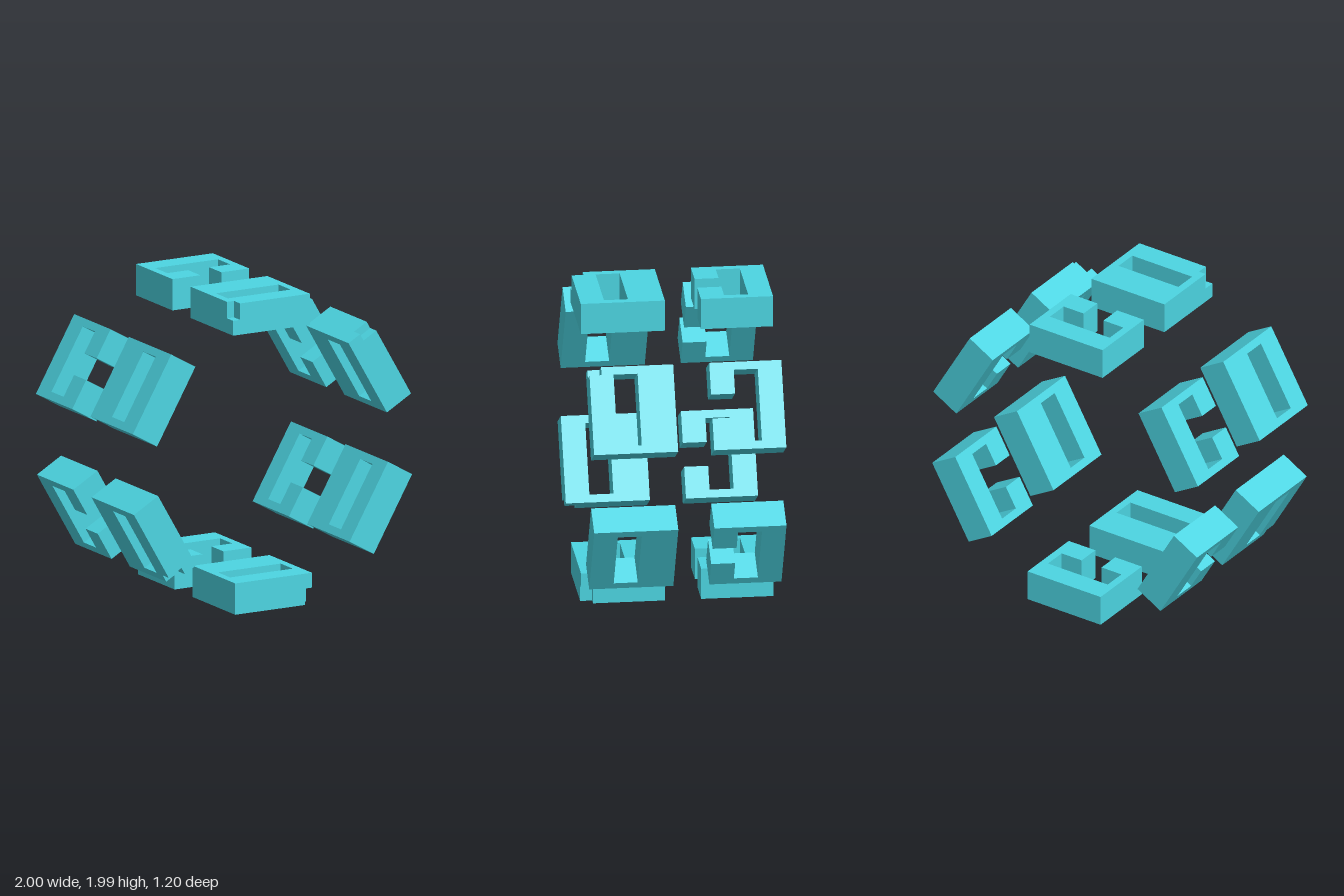
import * as THREE from 'three';

const THICK = 0.2, OUTER = 0.9925, HALF = 0.275, HOLE = 0.225, SLOT = 0.075, SHIFT = -0.0075;
const NOTCH = { length: 0.05, width: 0.075, depth: 0.105 };

export function createModel() {
  const teal = new THREE.MeshStandardMaterial({ color: 0x4cd5e2 });
  teal.name = 'teal';

  // outlines are given as [x, z] and become slabs of full thickness; holes run the opposite way
  const path = (Type, pts) => new Type(pts.map(([x, z]) => new THREE.Vector2(x, -z)));
  const slab = (outline, hole) => {
    const shape = path(THREE.Shape, outline);
    if (hole) shape.holes.push(path(THREE.Path, hole));
    return new THREE.ExtrudeGeometry(shape, { depth: THICK, bevelEnabled: false })
      .rotateX(-Math.PI / 2)
      .translate(SHIFT, OUTER - THICK, 0);
  };

  // closed front frame, with or without a stepped corner
  const slot = [[-HOLE, 0.45], [HOLE, 0.45], [HOLE, 0.3], [-HOLE, 0.3]];
  const sides = [[-HALF, 0.075], [HALF, 0.075], [HALF, 0.6]];
  const closed = slab([...sides, [-HALF, 0.6]], slot);
  const cornered = slab([
    ...sides,
    [-HALF + NOTCH.length, 0.6],
    [-HALF + NOTCH.length, 0.6 - NOTCH.width],
    [-HALF, 0.6 - NOTCH.width],
  ], slot);

  // inner half of the stepped corner
  const stepHeight = THICK - NOTCH.depth;
  const step = new THREE.BoxGeometry(NOTCH.length, stepHeight, NOTCH.width).translate(
    SHIFT - HALF + NOTCH.length / 2,
    OUTER - THICK + stepHeight / 2,
    0.6 - NOTCH.width / 2,
  );

  // rear frame, open in the middle of its front wall
  const open = slab([
    [-HALF, -0.15], [-SLOT, -0.15], [-SLOT, -0.3], [-HOLE, -0.3], [-HOLE, -0.45], [HOLE, -0.45],
    [HOLE, -0.3], [SLOT, -0.3], [SLOT, -0.15], [HALF, -0.15], [HALF, -0.6], [-HALF, -0.6],
  ]);

  const model = new THREE.Group();
  model.name = 'segmentRing';
  const add = (parent, geometry, name) => {
    const mesh = new THREE.Mesh(geometry, teal);
    mesh.name = name;
    parent.add(mesh);
  };

  // six segments, clockwise from the top; the third and sixth have no step
  for (let i = 0; i < 6; i++) {
    const segment = new THREE.Group();
    segment.name = `segment${i + 1}`;
    const notched = i % 3 !== 2;
    add(segment, notched ? cornered : closed, 'frontFrame');
    if (notched) add(segment, step, 'cornerStep');
    add(segment, open, 'rearFrame');
    segment.position.y = OUTER;
    segment.rotation.z = (-i * Math.PI) / 3;
    model.add(segment);
  }
  return model;
}
